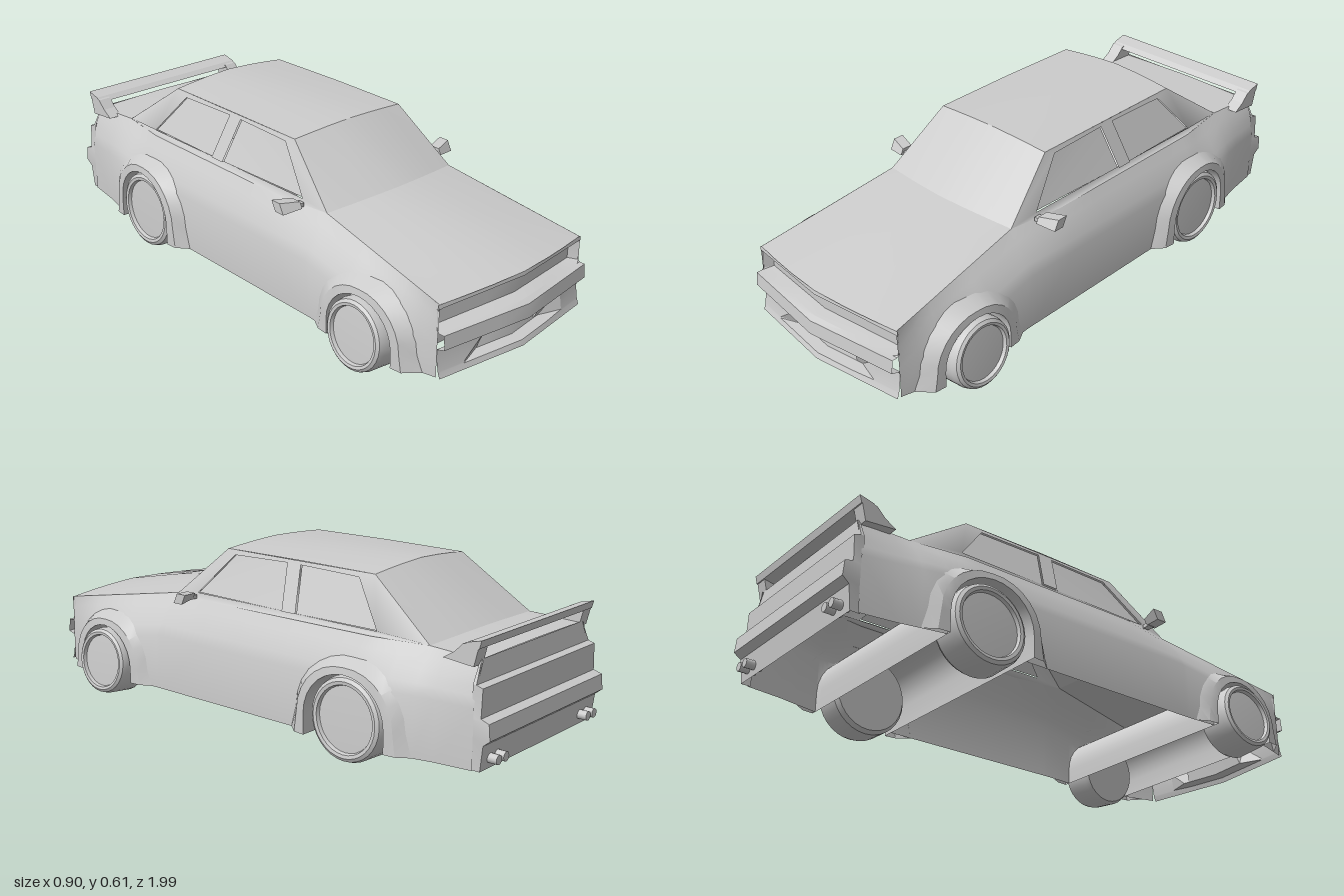
import * as THREE from 'three';
import { toCreasedNormals } from 'three/addons/utils/BufferGeometryUtils.js';

const { lerp, clamp } = THREE.MathUtils;
const skin = new THREE.MeshStandardMaterial({ color: 0xcccccc, side: THREE.DoubleSide });

// Piecewise-linear lookup in a list of [key, value], keys ascending
function table(list, k) {
  if (k <= list[0][0]) return list[0][1];
  for (let i = 1; i < list.length; i++) {
    const [a, va] = list[i - 1], [b, vb] = list[i];
    if (k <= b) return lerp(va, vb, (k - a) / (b - a));
  }
  return list[list.length - 1][1];
}

// Surface through equal-length rows of [x, y, z]
function loft(rows, crease = 0.45) {
  const n = rows[0].length, index = [];
  for (let i = 0; i < rows.length - 1; i++) {
    for (let j = 0; j < n - 1; j++) {
      const a = i * n + j, b = a + n;
      index.push(a, b, a + 1, a + 1, b, b + 1);
    }
  }
  const geo = new THREE.BufferGeometry();
  geo.setAttribute('position', new THREE.Float32BufferAttribute(rows.flat(2), 3));
  geo.setIndex(index);
  return toCreasedNormals(geo, crease);
}

const arches = [
  { name: 'front', z: 0.655, y: 0.125, r: 0.14, lip: 0.412, tilt: -0.005, wheel: [0.123, 0.31, 0.44, 0.127, 0.1] },
  { name: 'rear', z: -0.49, y: 0.145, r: 0.155, lip: 0.418, tilt: 0.01, wheel: [0.143, 0.285, 0.412, 0.146, 0.04] },
];
const SILL = 0.07;

// Body side: beltline height, beltline half-width and full half-width along z
const beltY = z => table([[-0.93, 0.405], [-0.73, 0.412], [0.38, 0.41], [0.925, 0.32]], z);
const beltX = z => table([[-0.93, 0.3], [-0.73, 0.29], [-0.525, 0.32], [0.175, 0.32], [0.38, 0.29], [0.925, 0.335]], z);
const fullX = z => table([[-0.95, 0.34], [-0.8, 0.36], [-0.65, 0.392], [-0.3, 0.388], [0.4, 0.388],
  [0.6, 0.4], [0.78, 0.378], [0.925, 0.34]], z);
function sideX(z, y) {
  const t = table([[0, 0], [0.07, 0.6], [0.14, 1]], beltY(z) - y);
  return lerp(beltX(z), fullX(z), t);
}

// Arch outline from front to back, as [z, y, angle]
function archPath({ z, y, r }) {
  const path = [[z + r, SILL, 0]];
  for (let k = 0; k <= 14; k++) {
    const a = Math.PI * k / 14;
    path.push([z + r * Math.cos(a), y + r * Math.sin(a), a]);
  }
  path.push([z - r, SILL, Math.PI]);
  return path;
}

function sidePanel() {
  const plain = list => list.map(z => [z, SILL]);
  const columns = [...plain([0.925, 0.86]), ...archPath(arches[0]), ...plain([0.4, 0.38, 0.175, 0, -0.2]),
    ...archPath(arches[1]), ...plain([-0.73, -0.8, -0.93])];
  return loft(columns.map(([z, yb]) => [0, 0.035, 0.07, 0.105, 0.14, 1].map(d => {
    const y = Math.max(yb, beltY(z) - d);
    return [sideX(z, y), y, z];
  })), 0.6);
}

function flare(arch) {
  const path = archPath(arch), last = path.length - 1;
  const rows = path.map(([z, y, a], i) => {
    const end = i === 0 || i === last;
    const R = arch.r + (end ? 0.085 : 0.045 + 0.02 * Math.abs(Math.cos(a)));
    const oz = arch.z + R * Math.cos(a), oy = end ? SILL : arch.y + R * Math.sin(a);
    const lip = arch.lip + arch.tilt * Math.cos(a);
    const mz = lerp(z, oz, 0.5), my = lerp(y, oy, 0.5);
    return [[sideX(z, y) - 0.03, y, z], [lip, y, z], [lip - 0.004, my, mz], [sideX(oz, oy), oy, oz]];
  });
  return loft(rows, 0.5);
}

// Hood, windscreen, roof, rear window and deck: [halfX, sideY, sideZ, centreY, centreZ]
function topSkin() {
  const stations = [
    [0.335, 0.32, 0.923, 0.33, 0.968], [0.312, 0.365, 0.65, 0.387, 0.69], [0.29, 0.41, 0.38, 0.43, 0.42],
    [0.244, 0.592, 0.17, 0.604, 0.175], [0.246, 0.594, -0.15, 0.61, -0.15], [0.244, 0.592, -0.48, 0.61, -0.485],
    [0.29, 0.412, -0.73, 0.42, -0.74], [0.3, 0.405, -0.92, 0.41, -0.925],
  ];
  return loft(stations.map(([hx, sy, sz, cy, cz]) => [-1, -0.7, -0.4, 0, 0.4, 0.7, 1].map(u => {
    const t = 1 - Math.abs(u) ** 1.5;
    return [u * hx, lerp(sy, cy, t), lerp(sz, cz, t)];
  })), 0.35);
}

// Flat [z, y] outline leaned onto the cabin side
function cabinPanel(outline, holes, inset) {
  const toPoints = list => list.map(([z, y]) => new THREE.Vector2(z, y));
  const shape = new THREE.Shape(toPoints(outline));
  shape.holes = holes.map(h => new THREE.Path(toPoints(h)));
  const geo = new THREE.ShapeGeometry(shape), p = geo.attributes.position;
  for (let i = 0; i < p.count; i++) {
    const z = p.getX(i), y = p.getY(i);
    const pull = 0.03 * clamp((Math.abs(z + 0.175) - 0.35) / 0.2, 0, 1) * clamp((0.592 - y) / 0.18, 0, 1);
    p.setXYZ(i, 0.32 - (y - 0.41) * 0.418 - pull - inset, y, z);
  }
  geo.computeVertexNormals();
  return geo;
}

// Nose: rows of [y, z, recess, recess half-width as a fraction]
function nose() {
  const rows = [
    [0.33, 0.968, 0, 0], [0.316, 0.97, 0, 0], [0.312, 0.968, 0.035, 0.97], [0.242, 0.968, 0.035, 0.95],
    [0.236, 0.975, 0, 0], [0.226, 0.995, 0, 0], [0.178, 1, 0, 0], [0.166, 0.965, 0, 0],
    [0.16, 0.965, 0.04, 0.38], [0.092, 0.977, 0.04, 0.44], [0.088, 0.978, 0, 0], [0.07, 0.985, 0, 0],
  ];
  const us = [0, 0.37, 0.44, 0.7, 0.95, 1];
  const across = [...us.slice(1).reverse().map(u => -u), ...us];
  return loft(rows.map(([y, z, depth, span]) => across.map(u => {
    const a = Math.abs(u);
    return [u * 0.34, y - (y > 0.23 ? 0.01 * a : 0), z - 0.045 * a - (a <= span ? depth : 0)];
  })), 0.3);
}

function tail() {
  const rows = [[0.408, -0.925, 0.3], [0.337, -0.932, 0.335], [0.33, -0.955, 0.335], [0.238, -0.955, 0.34],
    [0.228, -0.985, 0.342], [0.175, -0.99, 0.342], [0.155, -0.965, 0.34], [0.07, -0.955, 0.338]];
  return loft(rows.map(([y, z, hx]) => [[-hx, y, -0.92], [-hx, y, z], [hx, y, z], [hx, y, -0.92]]), 0.3);
}

// Extrude a [z, y] outline along x, starting at x0
function sideExtrude(outline, x0, width) {
  const geo = new THREE.ExtrudeGeometry(new THREE.Shape(outline.map(([z, y]) => new THREE.Vector2(-z, y))),
    { depth: width, bevelEnabled: false });
  return geo.rotateY(Math.PI / 2).translate(x0, 0, 0);
}

// Wheel with a bulged tyre and shallow dished rim, axis along x
function wheel(r, inner, outer) {
  const w = (outer - inner) / 2;
  const profile = [[0, -w], [0.75, -w], [0.92, -w], [1, -w * 0.75], [1, w * 0.6], [0.96, w * 0.88],
    [0.88, w], [0.8, w * 0.97], [0.77, w * 0.78], [0, w * 0.84]];
  const geo = new THREE.LatheGeometry(profile.map(([a, b]) => new THREE.Vector2(a * r, b)), 32);
  return toCreasedNormals(geo.rotateZ(-Math.PI / 2), 0.6);
}

export function createModel() {
  const car = new THREE.Group();
  car.name = 'car';
  const add = (name, geo) => {
    const mesh = new THREE.Mesh(geo, skin);
    mesh.name = name;
    car.add(mesh);
    return mesh;
  };
  const pair = (name, geo) => {
    add(name + 'Left', geo);
    add(name + 'Right', geo).scale.x = -1;
  };

  // Shell
  add('hoodRoofAndDeck', topSkin());
  add('nose', nose());
  add('tail', tail());
  pair('sidePanel', sidePanel());

  // Cabin sides with recessed glass
  const frontWindow = [[0.27, 0.428], [0.13, 0.575], [-0.11, 0.58], [-0.14, 0.428]];
  const rearWindow = [[-0.2, 0.428], [-0.17, 0.58], [-0.42, 0.575], [-0.54, 0.428]];
  const cabin = [[0.38, 0.41], [0.17, 0.592], [-0.48, 0.592], [-0.73, 0.412], [-0.525, 0.411], [0.175, 0.41]];
  pair('cabinFrame', cabinPanel(cabin, [frontWindow, rearWindow], 0));
  pair('frontSideWindow', cabinPanel(frontWindow, [], 0.007));
  pair('rearSideWindow', cabinPanel(rearWindow, [], 0.007));

  // Arches, full-width wheel tunnels and cambered wheels
  for (const arch of arches) {
    pair(arch.name + 'Flare', flare(arch));
    add(arch.name + 'WheelTunnel', loft(archPath(arch).map(([z, y]) => [[-0.385, y, z], [0.385, y, z]])));
    const [r, inner, outer, cy, camber] = arch.wheel;
    const geo = wheel(r, inner, outer);
    geo.rotateZ(camber).translate((inner + outer) / 2, cy, arch.z);
    pair(arch.name + 'Wheel', geo);
  }

  // Rear wing on two uprights
  add('wingBlade', sideExtrude([[-0.875, 0.447], [-0.895, 0.462], [-0.945, 0.474], [-0.938, 0.448], [-0.9, 0.44]], -0.335, 0.67));
  pair('wingUpright', sideExtrude([[-0.81, 0.4], [-0.85, 0.425], [-0.88, 0.455], [-0.94, 0.47], [-0.93, 0.43],
    [-0.92, 0.39]], 0.285, 0.05));

  // Door mirrors: tapered housing on a short arm
  const housing = new THREE.BoxGeometry(0.07, 0.036, 0.04);
  const p = housing.attributes.position;
  for (let i = 0; i < p.count; i++) {
    if (p.getX(i) < 0) p.setY(i, p.getY(i) * 0.6);
    p.setZ(i, p.getZ(i) - p.getX(i) * 0.25 + p.getY(i) * -0.5);
  }
  housing.computeVertexNormals();
  pair('mirror', housing.translate(0.365, 0.423, 0.27));
  pair('mirrorArm', new THREE.BoxGeometry(0.03, 0.014, 0.025).translate(0.325, 0.416, 0.278));

  // Twin exhausts each side
  [0.25, 0.29].forEach((x, i) => {
    const pipe = new THREE.CylinderGeometry(0.016, 0.016, 0.06, 12).rotateX(Math.PI / 2);
    pair('exhaust' + (i + 1), pipe.translate(x, 0.105, -0.962));
  });
  return car;
}
